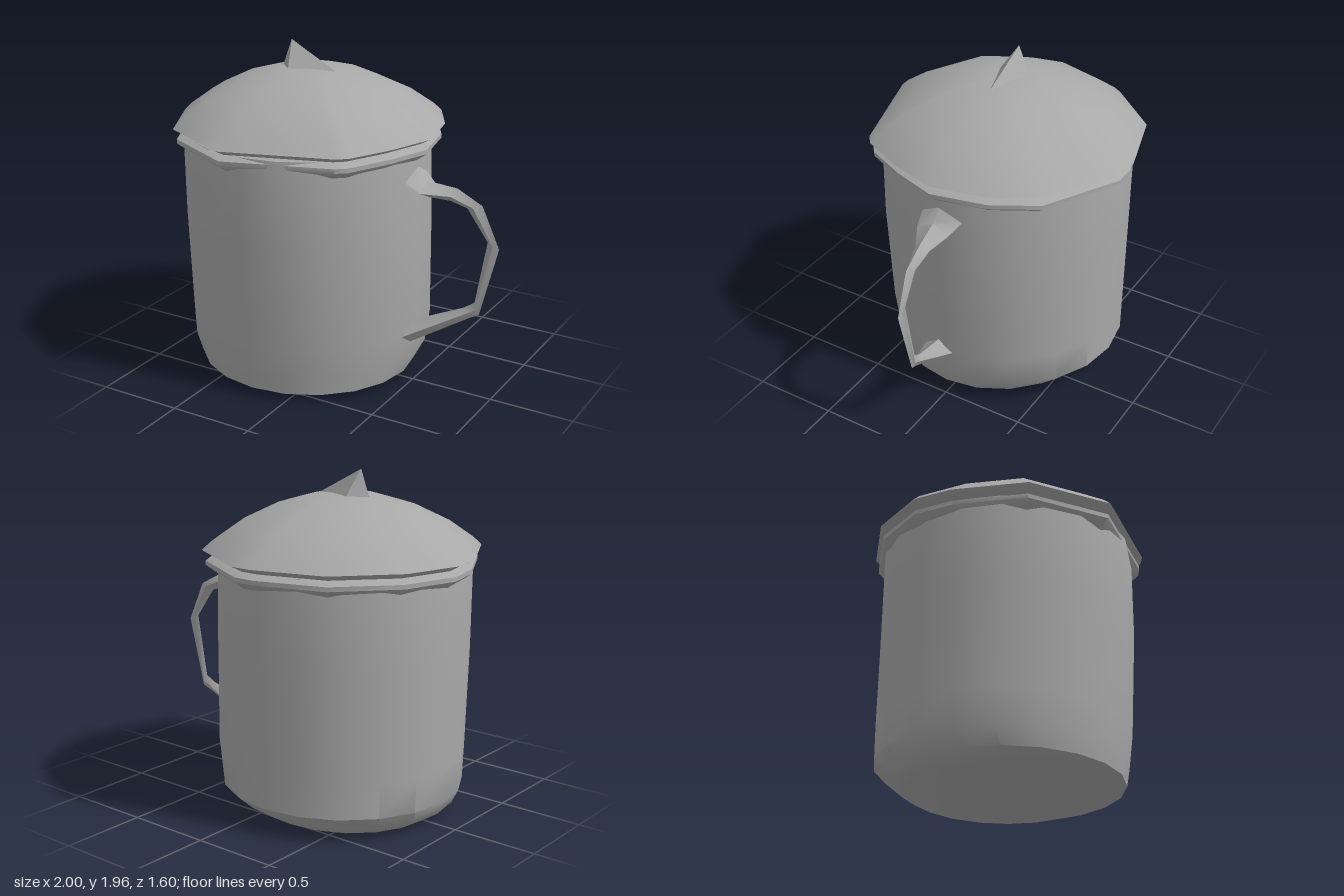
import * as THREE from 'three';
import { toCreasedNormals } from 'three/addons/utils/BufferGeometryUtils.js';

// Skin a stack of equal-length rings of [x, y, z] and close both ends.
// Rings run counter-clockwise about the stacking direction.
function loft(rings, crease) {
  const n = rings[0].length, pos = [], index = [];
  rings.forEach(r => r.forEach(p => pos.push(...p)));
  for (let i = 0; i < rings.length - 1; i++) {
    for (let j = 0; j < n; j++) {
      const a = i * n + j, b = i * n + (j + 1) % n;
      index.push(a, b, b + n, a, b + n, a + n);
    }
  }
  const cap = (ring, start, flip) => {
    const c = pos.length / 3;
    for (let k = 0; k < 3; k++) pos.push(ring.reduce((s, p) => s + p[k], 0) / n);
    for (let j = 0; j < n; j++) {
      const a = start + j, b = start + (j + 1) % n;
      index.push(c, flip ? b : a, flip ? a : b);
    }
  };
  cap(rings[0], 0, true);
  cap(rings[rings.length - 1], (rings.length - 1) * n, false);
  const g = new THREE.BufferGeometry();
  g.setAttribute('position', new THREE.Float32BufferAttribute(pos, 3));
  g.setIndex(index);
  g.computeVertexNormals();
  return crease ? toCreasedNormals(g, crease) : g;
}

export function createModel() {
  const group = new THREE.Group();
  const grey = new THREE.MeshStandardMaterial({ color: 0xa8a8a8 });
  const add = (name, geometry) => {
    const mesh = new THREE.Mesh(geometry, grey);
    mesh.name = name;
    group.add(mesh);
  };

  // Cup body: left, right, back and front limits at each height
  const sections = [
    [0.0, -0.78, 0.30, -0.52, 0.50],
    [0.05, -0.86, 0.45, -0.60, 0.65],
    [0.15, -0.925, 0.49, -0.72, 0.67],
    [0.35, -0.93, 0.52, -0.725, 0.685],
    [0.95, -0.93, 0.52, -0.73, 0.725],
    [1.38, -0.93, 0.51, -0.73, 0.73],
    [1.46, -0.92, 0.50, -0.72, 0.72],
  ];
  const sides = 20;
  add('cupBody', loft(sections.map(([y, x0, x1, z0, z1]) =>
    Array.from({ length: sides }, (_, j) => {
      const a = j / sides * Math.PI * 2;
      return [(x0 + x1) / 2 + Math.cos(a) * (x1 - x0) / 2, y,
        (z0 + z1) / 2 - Math.sin(a) * (z1 - z0) / 2];
    })), 0.75));

  // Irregular outline shared by the lid and the rim below it
  const outline = [
    [0.59, 0.03], [0.52, -0.30], [0.37, -0.56], [-0.08, -0.80], [-0.21, -0.80],
    [-0.62, -0.68], [-0.90, -0.37], [-1.0, -0.03], [-0.95, 0.20], [-0.75, 0.58],
    [-0.30, 0.80], [0.32, 0.60], [0.38, 0.55], [0.50, 0.30],
  ];
  const cx = -0.21;
  const ring = (s, y) => outline.map(([x, z]) => [cx + (x - cx) * s, y, z * s]);

  // Domed lid
  add('lid', loft([
    ring(0.92, 1.465), ring(1, 1.50), ring(0.94, 1.545), ring(0.76, 1.645),
    ring(0.5, 1.745), ring(0.26, 1.80), ring(0.1, 1.81),
  ], 0.9));

  // Folded rim under the lid
  add('rim', loft([
    ring(0.9, 1.37), ring(0.975, 1.415), ring(0.975, 1.44), ring(0.9, 1.475),
  ], 0.9));

  // Leaning pointed knob
  const tip = [-0.32, 1.955, 0];
  const base = [[0.0, 1.79, 0.01], [-0.28, 1.79, -0.10], [-0.39, 1.77, 0], [-0.28, 1.79, 0.11]];
  add('knob', loft([base, base.map(() => tip)], 0.5));

  // Handle: outer point, inner point, half width and z offset along the loop
  const stations = [
    [0.49, 1.35, 0.49, 1.18, 0.13, 0.0],
    [0.57, 1.255, 0.58, 1.16, 0.10, 0.01],
    [0.74, 1.23, 0.70, 1.15, 0.045, -0.02],
    [0.89, 1.15, 0.80, 1.12, 0.025, -0.03],
    [0.995, 0.91, 0.925, 0.94, 0.012, -0.04],
    [0.89, 0.49, 0.86, 0.56, 0.015, -0.04],
    [0.84, 0.465, 0.80, 0.52, 0.02, -0.03],
    [0.48, 0.25, 0.48, 0.39, 0.10, 0.04],
  ];
  add('handle', loft(stations.map(([ox, oy, ix, iy, w, z]) => {
    const mx = (ox + ix) / 2, my = (oy + iy) / 2;
    return [[ox, oy, z], [mx, my, z + w], [ix, iy, z], [mx, my, z - w]];
  }), 0.7));

  return group;
}
